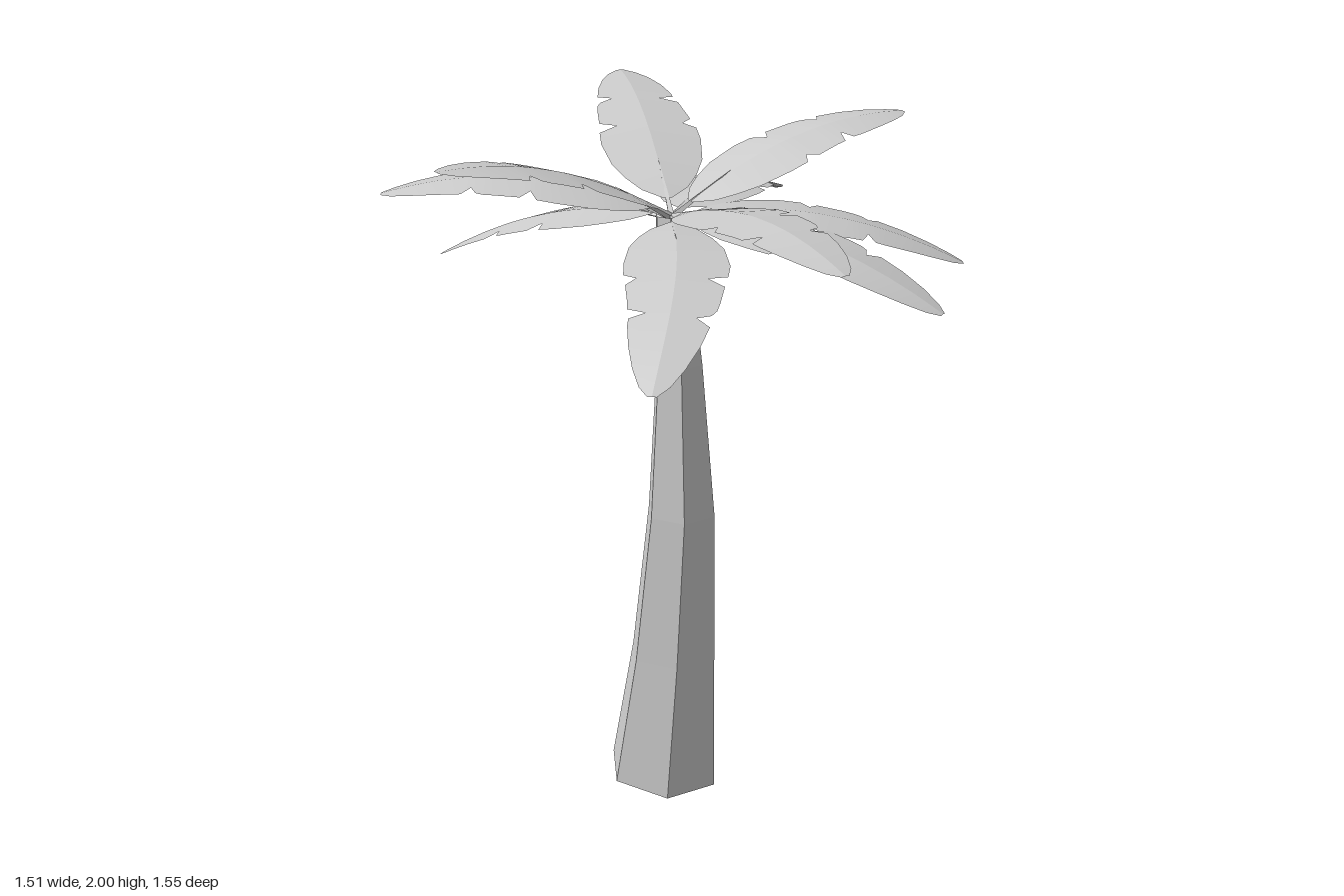
import * as THREE from 'three';

const material = new THREE.MeshStandardMaterial({ color: 0xcccccc, flatShading: true });
const leafMaterial = new THREE.MeshStandardMaterial({ color: 0xcccccc, side: THREE.DoubleSide });

// Trunk rings: height, radius, centre z
const RINGS = [[0.02, 0.165, -0.062], [0.42, 0.13, -0.02], [0.87, 0.103, 0.012], [1.32, 0.07, 0.004], [1.74, 0.045, -0.03]];

// Leaf stations: distance from the crown, half width on each side (dips are the torn notches)
const OUTLINE = [
  [0.06, 0.012, 0.012], [0.1, 0.065, 0.065], [0.15, 0.1, 0.1], [0.21, 0.128, 0.128], [0.3, 0.142, 0.142],
  [0.355, 0.14, 0.137], [0.375, 0.105, 0.085], [0.4, 0.132, 0.13], [0.47, 0.12, 0.123], [0.5, 0.116, 0.118],
  [0.52, 0.066, 0.106], [0.535, 0.108, 0.07], [0.56, 0.107, 0.107], [0.63, 0.092, 0.092], [0.7, 0.068, 0.068],
  [0.755, 0.04, 0.04], [0.785, 0.012, 0.012],
];

// Leaf tips: x, y, z, sideways bow
const TIPS = [
  [-0.19, 1.5, -0.77, 0], [-0.54, 1.79, -0.62, 0.02], [0.43, 1.94, -0.66, 0], [0.72, 1.59, -0.32, 0],
  [0.75, 1.91, 0.15, 0], [0.57, 1.59, 0.53, 0], [0.2, 1.59, 0.76, 0], [-0.21, 1.8, 0.77, 0],
  [-0.61, 1.51, 0.48, -0.035], [-0.76, 2.0, -0.14, 0],
];
const CROWN = new THREE.Vector3(-0.012, 1.735, -0.025);

// Taper and bend a unit cylinder or disc along the rings
function bendTrunk(geometry) {
  const p = geometry.attributes.position;
  for (let i = 0; i < p.count; i++) {
    const k = Math.round((p.getY(i) + 0.5) * (RINGS.length - 1));
    const [y, r, cz] = RINGS[k];
    const tilt = k === 0 ? -0.02 * p.getZ(i) : 0;
    p.setXYZ(i, -0.012 + r * p.getX(i), y + tilt, cz + r * p.getZ(i));
  }
  geometry.computeVertexNormals();
  return geometry;
}

// Returns a function placing (distance, sideways, lift) on an arching leaf
function leafFrame([tx, ty, tz, bow]) {
  const dx = tx - CROWN.x, dz = tz - CROWN.z, length = Math.hypot(dx, dz);
  const ux = dx / length, uz = dz / length, arch = 0.45;
  const slope = (ty - CROWN.y) / length + arch * length;
  return (d, side, lift) => {
    const r = d * length / 0.785;
    const s = side + bow * Math.sin(Math.PI * d / 0.785);
    return new THREE.Vector3(
      CROWN.x + ux * r - uz * s, CROWN.y + slope * r - arch * r * r + lift, CROWN.z + uz * r + ux * s);
  };
}

// Blade: two halves meeting in a sharp, slightly folded midrib
function bladeGeometry(place) {
  const pos = [], index = [];
  for (const half of [1, -1]) {
    const base = pos.length / 3;
    OUTLINE.forEach(([d, a, b], i) => {
      const w = half > 0 ? a : b;
      pos.push(...place(d, 0, 0).toArray(), ...place(d, half * w, -0.13 * w).toArray());
      if (i === 0) return;
      const q = base + 2 * i;
      if (half > 0) index.push(q - 2, q - 1, q, q, q - 1, q + 1);
      else index.push(q - 2, q, q - 1, q, q + 1, q - 1);
    });
  }
  const g = new THREE.BufferGeometry();
  g.setAttribute('position', new THREE.Float32BufferAttribute(pos, 3));
  // Reverse so the upper side is the front
  for (let i = 0; i < index.length; i += 3) [index[i + 1], index[i + 2]] = [index[i + 2], index[i + 1]];
  g.setIndex(index);
  g.computeVertexNormals();
  return g;
}

// Thin tapering stalk from the crown onto the blade
function makeStalk(place) {
  const from = place(0, 0, -0.004), to = place(0.2, 0, 0.004);
  const dir = to.clone().sub(from);
  const stalk = new THREE.Mesh(new THREE.ConeGeometry(0.011, dir.length(), 4), material);
  stalk.position.copy(from).addScaledVector(dir, 0.5);
  stalk.quaternion.setFromUnitVectors(new THREE.Vector3(0, 1, 0), dir.normalize());
  stalk.name = 'leafStalk';
  return stalk;
}

export function createModel() {
  const model = new THREE.Group();
  model.name = 'palmTree';

  // Six-sided trunk, open under the crown
  const side = new THREE.CylinderGeometry(1, 1, 1, 6, RINGS.length - 1, true, Math.PI / 10);
  const trunk = new THREE.Mesh(bendTrunk(side), material);
  trunk.name = 'trunk';
  const disc = new THREE.CircleGeometry(1, 6, Math.PI / 15).rotateX(Math.PI / 2).translate(0, -0.5, 0);
  const base = new THREE.Mesh(bendTrunk(disc), material);
  base.name = 'trunkBase';
  model.add(trunk, base);

  // Crown of leaves
  TIPS.forEach((tip, i) => {
    const leaf = new THREE.Group();
    leaf.name = `leaf${i + 1}`;
    const place = leafFrame(tip);
    const blade = new THREE.Mesh(bladeGeometry(place), leafMaterial);
    blade.name = 'leafBlade';
    leaf.add(blade, makeStalk(place));
    model.add(leaf);
  });
  return model;
}
